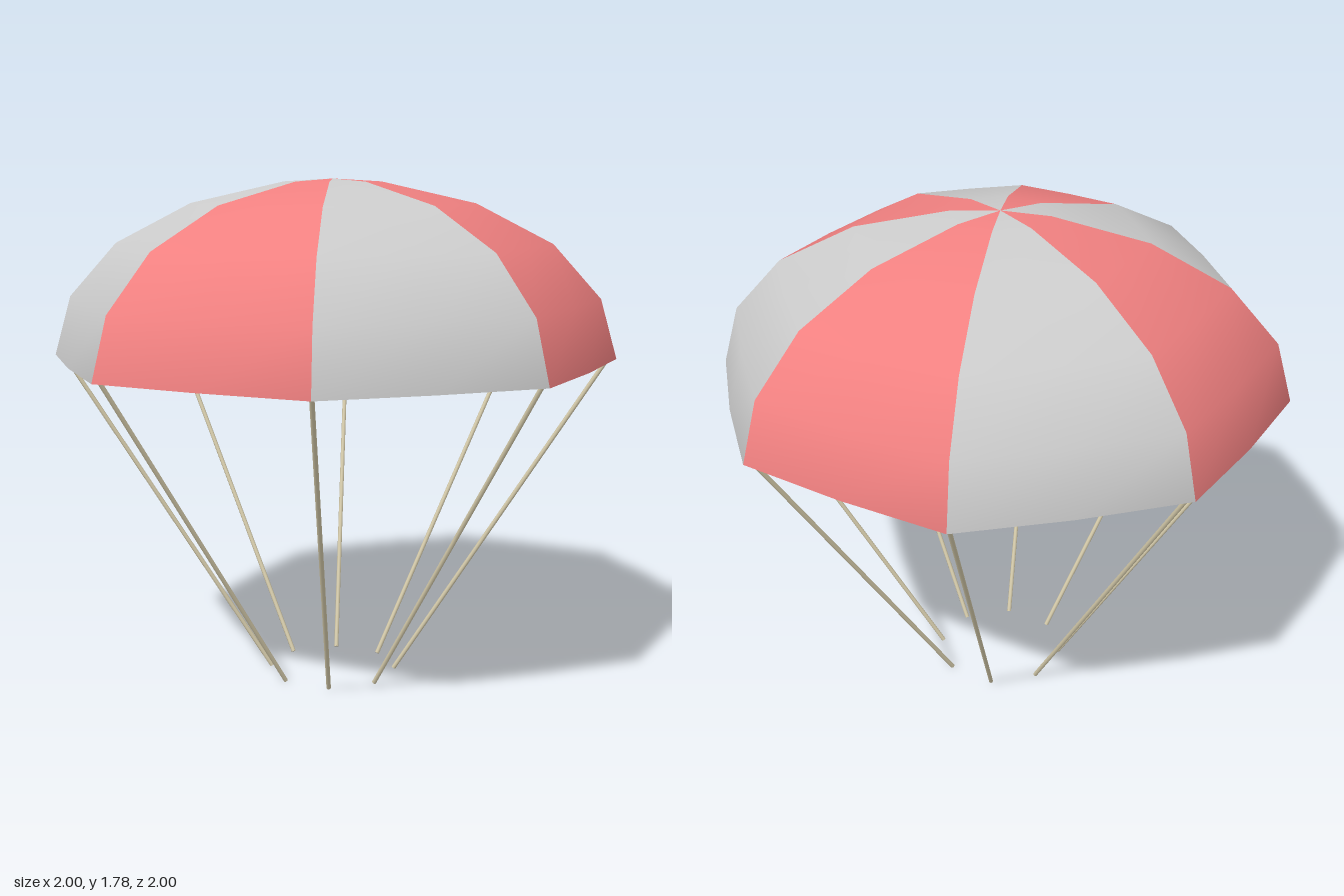
import * as THREE from 'three';

const GORES = 8;
const STEP = (Math.PI * 2) / GORES;

// Closed section along a seam: outer skin from crown to hem, then the inner skin back up [radius, y]
const SECTION = [
  [0, 1.785], [0.17, 1.775], [0.5, 1.7], [0.77, 1.56], [0.94, 1.37], [1, 1.16],
  [0.97, 1.16], [0.91, 1.36], [0.75, 1.54], [0.49, 1.675], [0.16, 1.75], [0, 1.76],
];
// Seam, slightly bulged middle, seam: [fraction of the gore, radius factor]
const ACROSS = [[0, 1], [0.5, 0.938], [1, 1]];

const polar = (r, y, a) => new THREE.Vector3(r * Math.sin(a), y, r * Math.cos(a));

function goreGeometry() {
  const points = [];
  const index = [];
  const n = ACROSS.length;
  SECTION.forEach(([r, y], i) => {
    ACROSS.forEach(([t, f], j) => {
      points.push(polar(r * f, y, t * STEP));
      if (i < SECTION.length - 1 && j < n - 1) {
        const a = i * n + j;
        index.push(a, a + n, a + 1, a + 1, a + n, a + n + 1);
      }
    });
  });
  const geometry = new THREE.BufferGeometry().setFromPoints(points);
  geometry.setIndex(index);
  geometry.computeVertexNormals();
  return geometry;
}

// Thin round cord between two points
function cord(from, to, radius, material) {
  const dir = to.clone().sub(from);
  const mesh = new THREE.Mesh(new THREE.CylinderGeometry(radius, radius, dir.length(), 8), material);
  mesh.position.copy(from).add(to).multiplyScalar(0.5);
  mesh.quaternion.setFromUnitVectors(new THREE.Vector3(0, 1, 0), dir.normalize());
  return mesh;
}

export function createModel() {
  const model = new THREE.Group();
  model.name = 'parachute';
  const red = new THREE.MeshStandardMaterial({ color: 0xf08080, side: THREE.DoubleSide });
  const grey = new THREE.MeshStandardMaterial({ color: 0xcccccc, side: THREE.DoubleSide });
  const tan = new THREE.MeshStandardMaterial({ color: 0xd2c8a8 });

  const canopy = new THREE.Group();
  canopy.name = 'canopy';
  const lines = new THREE.Group();
  lines.name = 'suspensionLines';
  model.add(canopy, lines);

  const gore = goreGeometry();
  for (let k = 0; k < GORES; k++) {
    // Alternating cloth panels
    const panel = new THREE.Mesh(gore, k % 2 ? grey : red);
    panel.name = `canopyPanel${k + 1}`;
    panel.rotation.y = k * STEP;
    canopy.add(panel);

    // One line hangs from the hem at each seam
    const line = cord(polar(0.225, 0.005, k * STEP), polar(0.972, 1.165, k * STEP), 0.008, tan);
    line.name = `suspensionLine${k + 1}`;
    lines.add(line);
  }
  return model;
}
